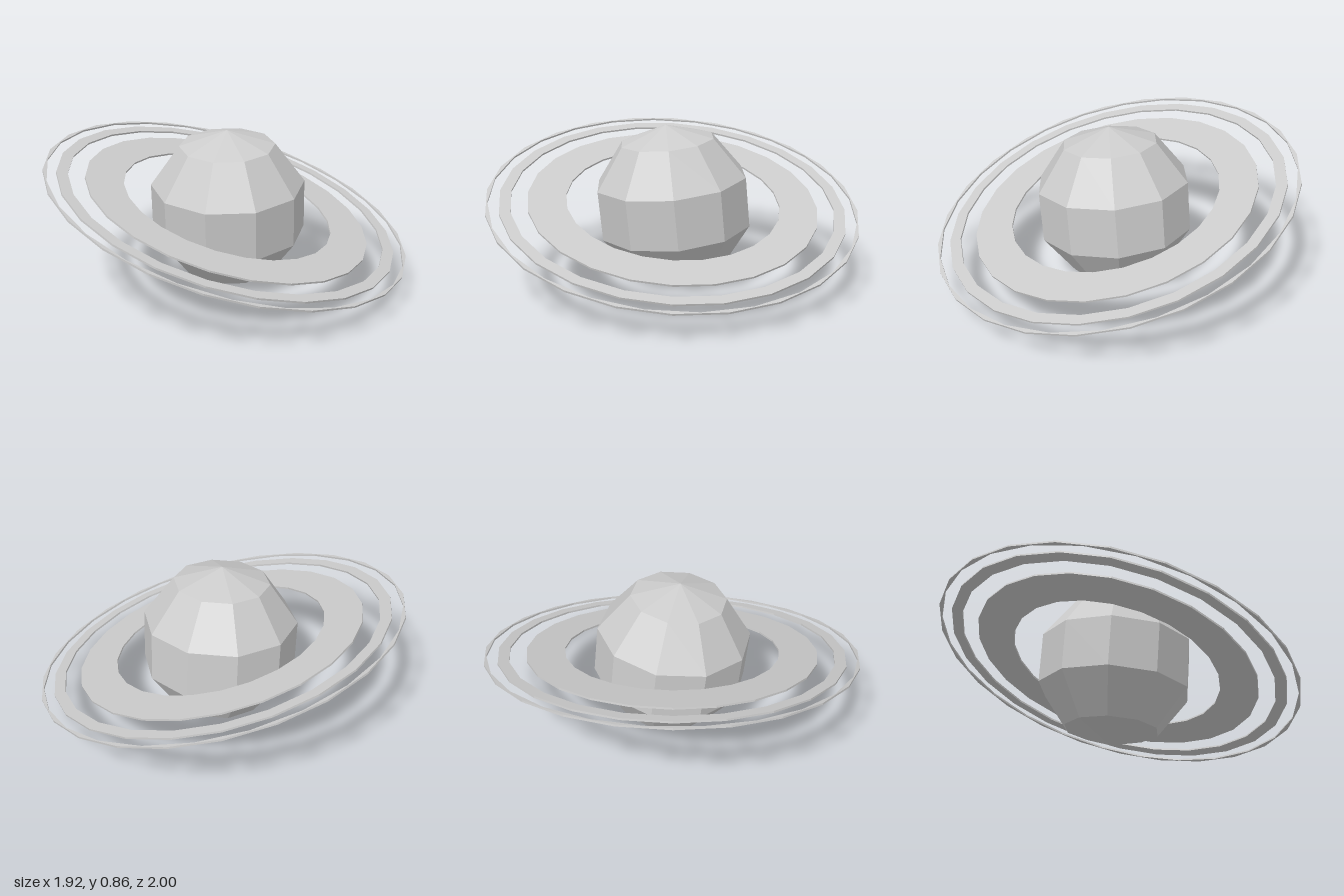
import * as THREE from 'three';

const rad = THREE.MathUtils.degToRad;
const SIDES = 24;

// Regular polygon outline with a given radius and starting angle
function polygon(radius, phase) {
  return Array.from({ length: SIDES }, (_, i) => {
    const a = phase + (i / SIDES) * Math.PI * 2;
    return new THREE.Vector2(radius * Math.cos(a), radius * Math.sin(a));
  });
}

// Thin flat band lying in the xz plane
function ringGeometry(inner, outer, innerShift = 0) {
  const depth = 0.01;
  const phase = rad(-2.5);
  const shape = new THREE.Shape(polygon(outer, phase));
  shape.holes.push(new THREE.Path(polygon(inner, phase + innerShift)));
  const geo = new THREE.ExtrudeGeometry(shape, { depth, bevelEnabled: false });
  geo.translate(0, 0, -depth / 2);
  geo.rotateX(Math.PI / 2);
  return geo;
}

export function createModel() {
  const group = new THREE.Group();
  group.name = 'ringedPlanet';
  const material = new THREE.MeshStandardMaterial({ color: 0xcccccc, flatShading: true });

  // Faceted planet body, slightly tilted
  const planet = new THREE.Mesh(new THREE.SphereGeometry(0.431, 10, 5), material);
  planet.name = 'planet';
  planet.position.y = 0.43;
  planet.rotation.set(0.1, rad(-11), -0.025, 'XZY');
  group.add(planet);

  // Three concentric rings sharing one tilt
  const rings = new THREE.Group();
  rings.name = 'rings';
  rings.position.y = 0.44;
  rings.rotation.z = rad(-16.8);
  const bands = [
    ['innerRing', 0.575, 0.78, 0],
    ['middleRing', 0.87, 0.93, 0],
    ['outerRing', 0.985, 1.0, Math.PI / SIDES],
  ];
  for (const [name, inner, outer, shift] of bands) {
    const ring = new THREE.Mesh(ringGeometry(inner, outer, shift), material);
    ring.name = name;
    rings.add(ring);
  }
  group.add(rings);
  return group;
}
